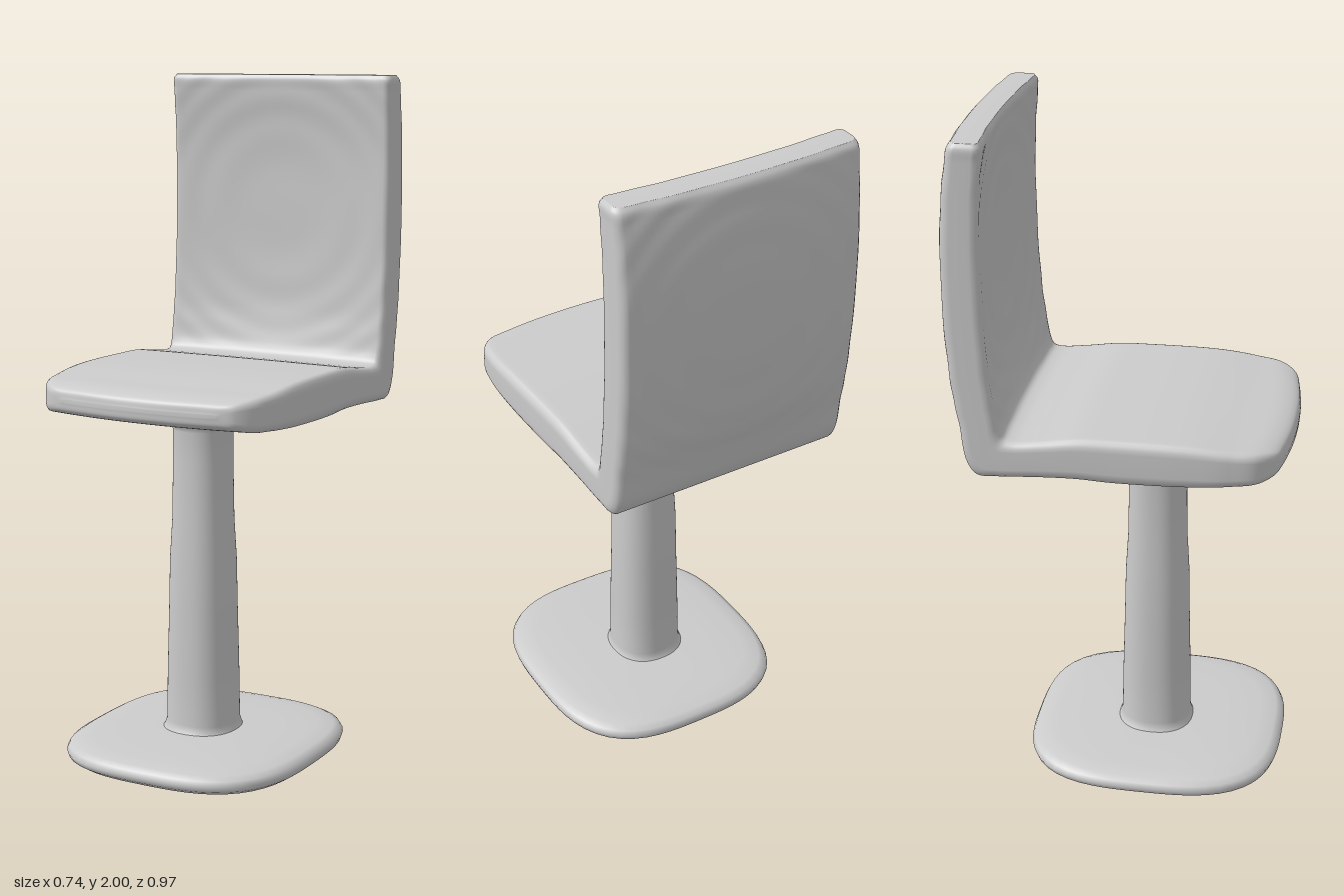
import * as THREE from 'three';
import { mergeVertices } from 'three/addons/utils/BufferGeometryUtils.js';

const material = new THREE.MeshStandardMaterial({ color: 0xcccccc });

// Turned part whose round plan is squared off by a superellipse of exponent n
function squaredLathe(profile, n, segments = 64) {
  let geo = new THREE.LatheGeometry(profile.map(([r, y]) => new THREE.Vector2(r, y)), segments);
  const p = geo.attributes.position;
  for (let i = 0; i < p.count; i++) {
    const x = p.getX(i), z = p.getZ(i), r = Math.hypot(x, z);
    if (r < 1e-6) continue;
    const k = Math.pow(Math.abs(x / r) ** n + Math.abs(z / r) ** n, -1 / n);
    p.setX(i, x * k);
    p.setZ(i, z * k);
  }
  geo.deleteAttribute('uv');
  geo.deleteAttribute('normal');
  geo = mergeVertices(geo, 1e-5);
  geo.computeVertexNormals();
  return geo;
}

// Rounded-rectangle section: [position across the width, corner offset, depth from inner to outer face]
function shellSection(r, rt, cols) {
  const half = [];
  for (let k = 0; k <= 4; k++) {
    const a = k / 4 * Math.PI / 2;
    half.push([-1, -r * Math.cos(a), rt * (1 - Math.sin(a))]);
  }
  for (let k = 1; k < cols; k++) half.push([-1 + 2 * k / cols, 0, 0]);
  for (let k = 4; k >= 0; k--) {
    const [u, dx, t] = half[k];
    half.push([-u, -dx, t]);
  }
  return half.concat(half.slice().reverse().map(([u, dx, t]) => [u, dx, 1 - t]));
}

// Soft shallow terraces that make the rings on the backrest
function dish(x, y) {
  const q = 5 * Math.max(0, 1 - (x * x + (y - 1.6) ** 2) / 0.31);
  const stepped = q - 0.6 * Math.sin(2 * Math.PI * q) / (2 * Math.PI);
  return 0.045 * stepped / 5 * THREE.MathUtils.smoothstep(y, 1.05, 1.3);
}

// One-piece seat and backrest, lofted from the front lip to the top edge
function shellGeometry() {
  // inner z, inner y, outer z, outer y, half width
  const stations = [
    [0.485, 1.115, 0.485, 1.105, 0.25],
    [0.478, 1.14, 0.478, 1.08, 0.3],
    [0.44, 1.155, 0.44, 1.065, 0.343],
    [0.35, 1.163, 0.35, 1.058, 0.362],
    [0.2, 1.174, 0.2, 1.05, 0.37],
    [0, 1.175, 0, 1.046, 0.37],
    [-0.1, 1.172, -0.1, 1.05, 0.37],
    [-0.2, 1.158, -0.21, 1.047, 0.37],
    [-0.28, 1.15, -0.33, 1.04, 0.37],
    [-0.306, 1.156, -0.385, 1.042, 0.37],
    [-0.318, 1.18, -0.413, 1.08, 0.37],
    [-0.322, 1.25, -0.43, 1.2, 0.37],
    [-0.325, 1.4, -0.437, 1.4, 0.37],
    [-0.326, 1.6, -0.438, 1.6, 0.37],
    [-0.332, 1.8, -0.438, 1.8, 0.37],
    [-0.334, 1.95, -0.432, 1.95, 0.37],
    [-0.336, 1.985, -0.428, 1.985, 0.37],
    [-0.345, 2, -0.418, 2, 0.362],
  ];
  const inner = new THREE.CatmullRomCurve3(stations.map(s => new THREE.Vector3(s[4], s[1], s[0])));
  const outer = new THREE.CatmullRomCurve3(stations.map(s => new THREE.Vector3(s[4], s[3], s[2])));
  const r = 0.022, section = shellSection(r, 0.25, 48);
  const n = section.length, rows = (stations.length - 1) * 12;
  const pos = [], index = [];
  for (let i = 0; i <= rows; i++) {
    const a = inner.getPoint(i / rows), b = outer.getPoint(i / rows);
    for (const [u, dx, t] of section) {
      const x = u * (a.x - r) + dx;
      const y = a.y + (b.y - a.y) * t;
      let z = a.z + (b.z - a.z) * t;
      z -= dish(x, y) + 0.35 * x * x * THREE.MathUtils.smoothstep(z, 0.2, 0.48);
      pos.push(x, Math.min(y, 2), z);
    }
  }
  for (let i = 0; i < rows; i++) {
    for (let j = 0; j < n; j++) {
      const a = i * n + j, b = i * n + (j + 1) % n;
      index.push(a, b, a + n, b, b + n, a + n);
    }
  }
  // Close both ends by joining the two faces
  const last = rows * n;
  for (let j = 0; j < n / 2 - 1; j++) {
    const a = j, b = j + 1, c = n - 1 - j, d = n - 2 - j;
    index.push(a, c, b, b, c, d);
    index.push(last + a, last + b, last + c, last + b, last + d, last + c);
  }
  const geo = new THREE.BufferGeometry();
  geo.setAttribute('position', new THREE.Float32BufferAttribute(pos, 3));
  geo.setIndex(index);
  geo.computeVertexNormals();
  return geo;
}

export function createModel() {
  const model = new THREE.Group();
  model.name = 'pedestalChair';
  const add = (name, geo, x = 0, y = 0, z = 0) => {
    const mesh = new THREE.Mesh(geo, material);
    mesh.name = name;
    mesh.position.set(x, y, z);
    model.add(mesh);
    return mesh;
  };

  // Seat and backrest
  add('seatShell', shellGeometry());

  // Post, flared where it meets the base and the seat
  add('post', squaredLathe([
    [0.125, 0.07], [0.112, 0.088], [0.105, 0.11], [0.103, 0.25], [0.098, 0.45],
    [0.095, 0.6], [0.088, 0.72], [0.085, 0.9], [0.085, 0.99], [0.092, 1.01],
    [0.12, 1.03], [0.16, 1.046], [0.18, 1.065],
  ], 2.3), -0.015, 0, 0.077);

  // Base plate, slightly tilted
  const base = add('base', squaredLathe([
    [0, 0], [0.2, 0.003], [0.3, 0.008], [0.345, 0.016], [0.365, 0.03], [0.37, 0.045],
    [0.363, 0.06], [0.345, 0.07], [0.3, 0.077], [0.2, 0.082], [0, 0.086],
  ], 3), 0, 0.002, 0.085);
  base.scale.z = 1.04;
  base.rotation.z = 0.015;

  return model;
}
